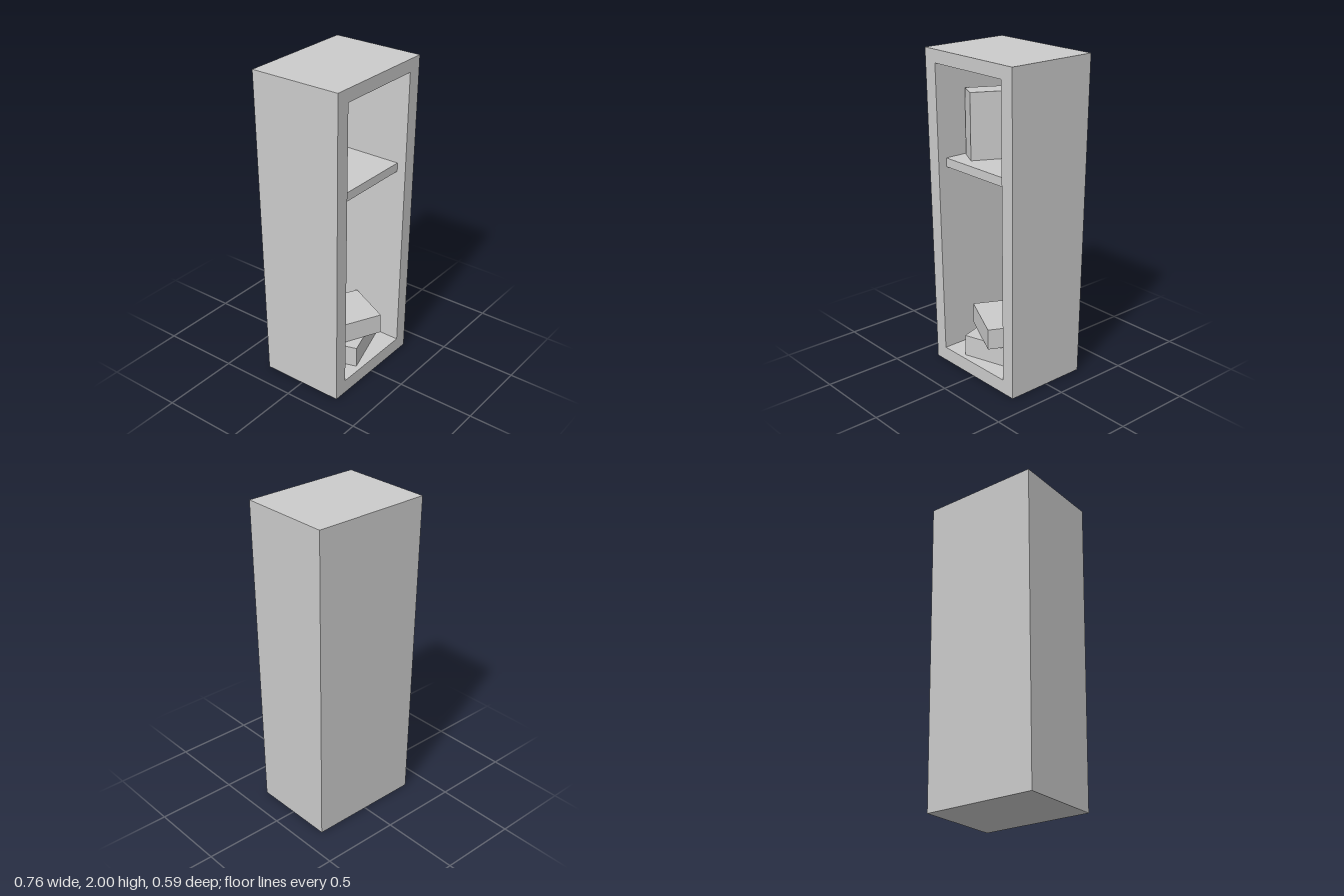
import * as THREE from 'three';

const H = 2, HALF_W = 0.38, HALF_D = 0.295, BACK_Z = -0.26;

// Narrow a geometry towards the floor (full size at the top)
function taper(geometry) {
  const p = geometry.attributes.position;
  for (let i = 0; i < p.count; i++) {
    const t = p.getY(i) / H;
    p.setX(i, p.getX(i) * THREE.MathUtils.lerp(0.956, 1, t));
    p.setZ(i, p.getZ(i) * THREE.MathUtils.lerp(0.918, 1, t));
  }
  geometry.computeVertexNormals();
  return geometry;
}

function rectangle(target, x, y0, y1) {
  return target.moveTo(-x, y0).lineTo(x, y0).lineTo(x, y1).lineTo(-x, y1).closePath();
}

export function createModel() {
  const group = new THREE.Group();
  const material = new THREE.MeshStandardMaterial({ color: 0xcccccc, flatShading: true });
  const add = (name, geometry) => {
    const mesh = new THREE.Mesh(geometry, material);
    mesh.name = name;
    group.add(mesh);
    return mesh;
  };

  // Cabinet walls: a frame extruded from the back panel to the front
  const frame = rectangle(new THREE.Shape(), HALF_W, 0, H);
  frame.holes.push(rectangle(new THREE.Path(), 0.29, 0.09, 1.92));
  const walls = new THREE.ExtrudeGeometry(frame, { depth: HALF_D - BACK_Z, bevelEnabled: false });
  add('cabinetWalls', taper(walls.translate(0, 0, BACK_Z)));

  // Back panel closing the cabinet
  const backDepth = HALF_D + BACK_Z;
  const back = new THREE.BoxGeometry(HALF_W * 2, H, backDepth);
  add('backPanel', taper(back.translate(0, H / 2, BACK_Z - backDepth / 2)));

  // Shelf, set back a little from the front
  add('shelf', new THREE.BoxGeometry(0.578, 0.055, 0.487)).position.set(0, 1.3125, -0.0145);

  // Loose boxes: [name, size, centre, turn, lean]
  const boxes = [
    ['uprightBox', [0.147, 0.41, 0.302], [-0.137, 1.545, -0.01], -0.48, 0.018],
    ['lowerBox', [0.387, 0.135, 0.327], [0.018, 0.1575, 0.026], 0.3, 0],
    ['stackedBox', [0.387, 0.13, 0.327], [0.016, 0.29, 0.02], -0.46, 0],
  ];
  for (const [name, size, centre, turn, lean] of boxes) {
    const box = add(name, new THREE.BoxGeometry(...size));
    box.position.set(...centre);
    box.rotation.set(0, turn, lean);
  }
  return group;
}
